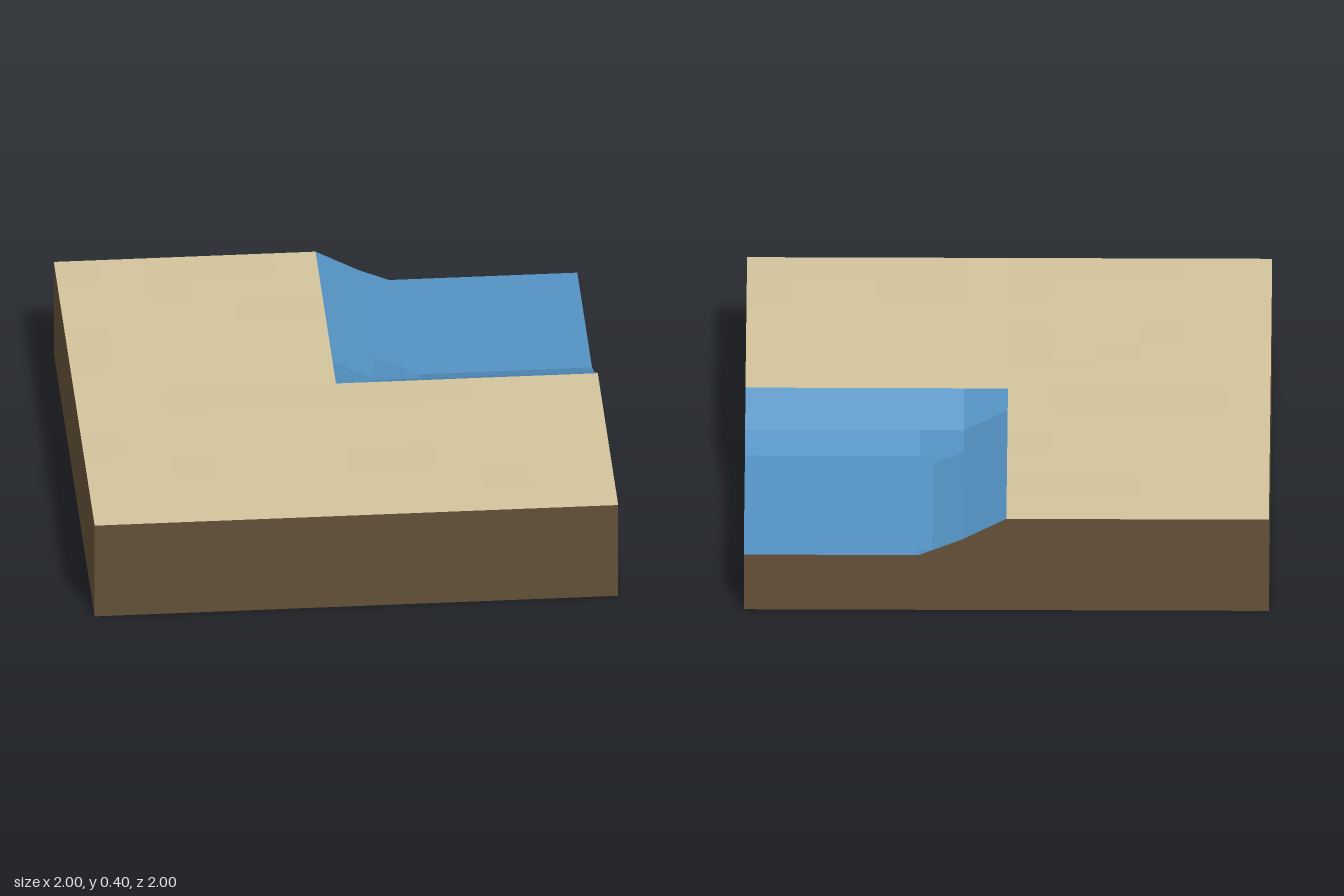
import * as THREE from 'three';

const CELL = 1 / 6, TOP = 0.4, BANK = 0.31, BED = 0.24, WATER = 0.262;

// Ground height at a grid point: gently rippled sand, stepping down to a pool bed in one corner
function height(i, j) {
  const depth = Math.min(i, -j);
  if (depth > 0) return depth === 1 ? BANK : BED;
  if (i % 6 === 0 || j % 6 === 0) return TOP;
  const s = Math.sin(i * 12.9 + j * 78.2) * 437.5;
  return TOP + 0.005 * (s - Math.floor(s));
}

// Faceted sheet of the grid cells accepted by the filter, one normal per cell
function groundSheet(accept) {
  const pos = [], nor = [];
  const point = (i, j) => new THREE.Vector3(i * CELL, height(i, j), j * CELL);
  for (let i = -6; i < 6; i++) {
    for (let j = -6; j < 6; j++) {
      if (!accept(i, j)) continue;
      const a = point(i, j), b = point(i, j + 1), c = point(i + 1, j + 1), d = point(i + 1, j);
      const n = c.clone().sub(a).cross(d.clone().sub(b)).normalize();
      for (const p of [a, b, c, a, c, d]) {
        pos.push(p.x, p.y, p.z);
        nor.push(n.x, n.y, n.z);
      }
    }
  }
  const g = new THREE.BufferGeometry();
  g.setAttribute('position', new THREE.Float32BufferAttribute(pos, 3));
  g.setAttribute('normal', new THREE.Float32BufferAttribute(nor, 3));
  return g;
}

function flatShape(points) {
  return new THREE.ShapeGeometry(new THREE.Shape(points.map(([x, y]) => new THREE.Vector2(x, y))));
}

export function createModel() {
  const model = new THREE.Group();
  model.name = 'poolTerrainTile';
  const material = (name, color, side = THREE.FrontSide) => {
    const m = new THREE.MeshStandardMaterial({ color, side });
    m.name = name;
    return m;
  };
  const sand = material('sand', 0xd2c39b);
  const soil = material('soil', 0x625038);
  const blue = material('waterBlue', 0x5391c2, THREE.DoubleSide);
  const add = (name, geometry, mat) => {
    const mesh = new THREE.Mesh(geometry, mat);
    mesh.name = name;
    model.add(mesh);
    return mesh;
  };

  // Upper ground
  const inPool = (i, j) => i >= 0 && j < 0;
  add('sandSurface', groundSheet((i, j) => !inPool(i, j)), sand);
  add('poolBed', groundSheet(inPool), blue);

  // Still water, a thin sheet just above the bed
  const size = 1 - 0.28;
  add('waterSurface', new THREE.PlaneGeometry(size, size).rotateX(-Math.PI / 2)
    .translate(1 - size / 2, WATER, -1 + size / 2), blue);

  // Soil walls; the two beside the pool follow its bank
  const full = [[-1, 0], [1, 0], [1, TOP], [-1, TOP]];
  const cut = [[-1, 0], [1, 0], [1, BED], [2 * CELL, BED], [CELL, BANK], [0, TOP], [-1, TOP]];
  const mirrored = cut.map(([u, y]) => [-u, y]);
  const walls = [['frontWall', full, 0], ['leftWall', cut, 1], ['backWall', mirrored, 2], ['rightWall', full, 3]];
  for (const [name, outline, turn] of walls) {
    add(name, flatShape(outline).translate(0, 0, 1).rotateY(turn * Math.PI / 2), soil);
  }

  // Underside, coloured to match the ground above
  add('sandUnderside', flatShape([[-1, -1], [0, -1], [0, 0], [1, 0], [1, 1], [-1, 1]]).rotateX(Math.PI / 2), sand);
  add('poolUnderside', flatShape([[0, -1], [1, -1], [1, 0], [0, 0]]).rotateX(Math.PI / 2), blue);

  return model;
}
